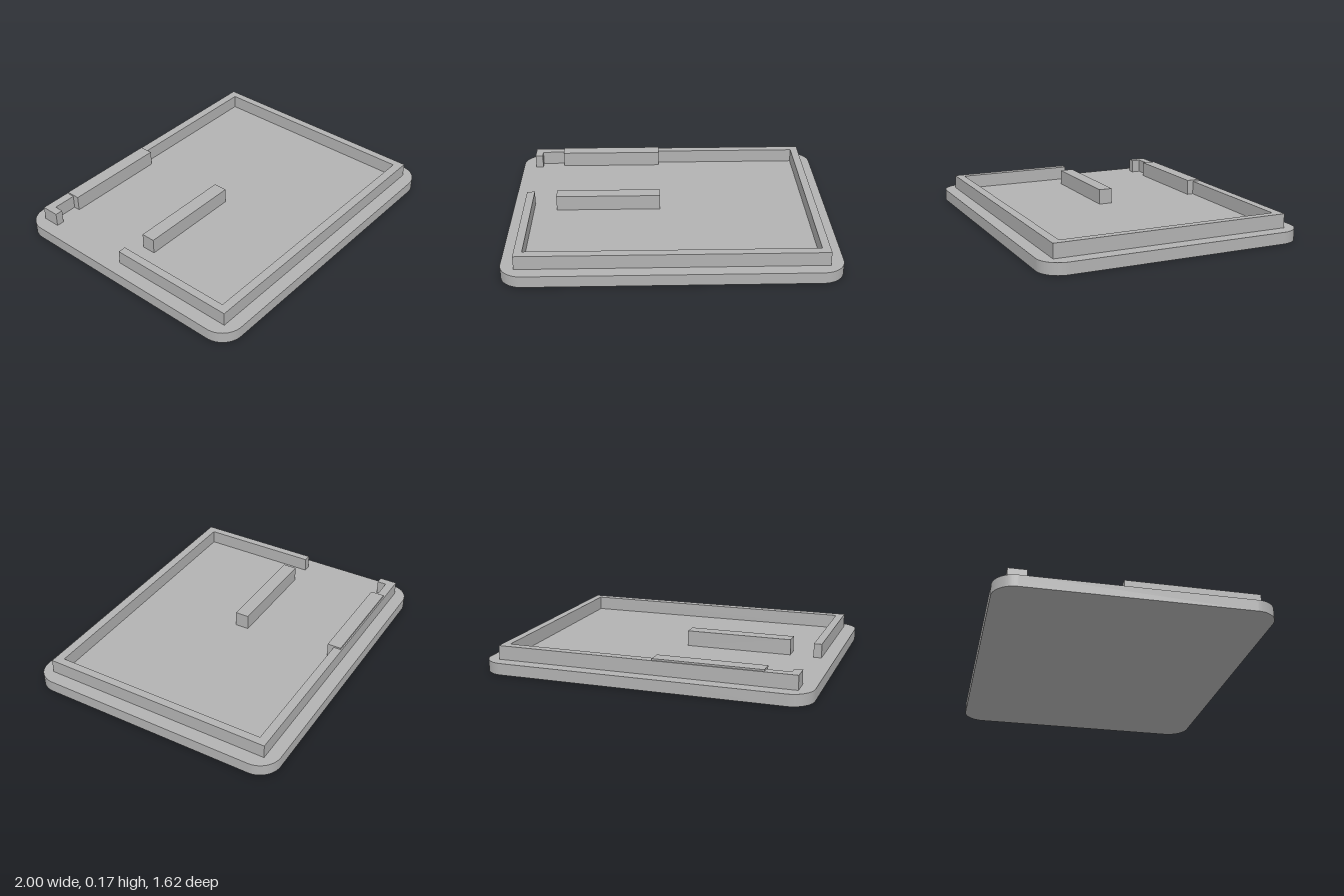
import * as THREE from 'three';
import { toCreasedNormals } from 'three/addons/utils/BufferGeometryUtils.js';

const BASE_TOP = 0.071, RIM_TOP = 0.157, RIB_TOP = 0.167;

// Extrude a plan outline (x, -z) upwards from y0 to y1
function slab(shape, y0, y1) {
  const geo = new THREE.ExtrudeGeometry(shape, { depth: y1 - y0, bevelEnabled: false, curveSegments: 16 });
  geo.rotateX(-Math.PI / 2).translate(0, y0, 0);
  return toCreasedNormals(geo, 0.5);
}

function roundedRect(hx, hz, r) {
  const s = new THREE.Shape();
  s.absarc(hx - r, hz - r, r, 0, Math.PI / 2);
  s.absarc(-hx + r, hz - r, r, Math.PI / 2, Math.PI);
  s.absarc(-hx + r, -hz + r, r, Math.PI, Math.PI * 1.5);
  s.absarc(hx - r, -hz + r, r, Math.PI * 1.5, Math.PI * 2);
  s.closePath();
  return s;
}

export function createModel() {
  const grey = new THREE.MeshStandardMaterial({ color: 0xb2b2b2 });
  grey.name = 'grey plastic';
  const model = new THREE.Group();
  model.name = 'coverPlate';

  const add = (name, geo) => {
    const mesh = new THREE.Mesh(geo, grey);
    mesh.name = name;
    model.add(mesh);
    return mesh;
  };

  // Rounded base plate
  add('basePlate', slab(roundedRect(1, 0.811, 0.135), 0, BASE_TOP));

  // Upright rim, open along part of the right side
  const ox = 0.916, oz = 0.731, ix = 0.867, iz = 0.677;
  const gapBack = 0.62, gapFront = 0.075;
  const rim = new THREE.Shape([
    [-ox, gapFront], [-ox, -oz], [ox, -oz], [ox, oz], [-ox, oz], [-ox, gapBack],
    [-ix, gapBack], [-ix, iz], [ix, iz], [ix, -iz], [-ix, -iz], [-ix, gapFront],
  ].map(([x, y]) => new THREE.Vector2(x, y)));
  add('rim', slab(rim, BASE_TOP, RIM_TOP));

  // Two straight ribs, slightly taller than the rim
  for (const [name, z] of [['backRib', -0.679], ['middleRib', -0.026]]) {
    const rib = add(name, new THREE.BoxGeometry(0.66, RIB_TOP - BASE_TOP, 0.087));
    rib.position.set(-0.392, (RIB_TOP + BASE_TOP) / 2, z);
  }

  return model;
}
